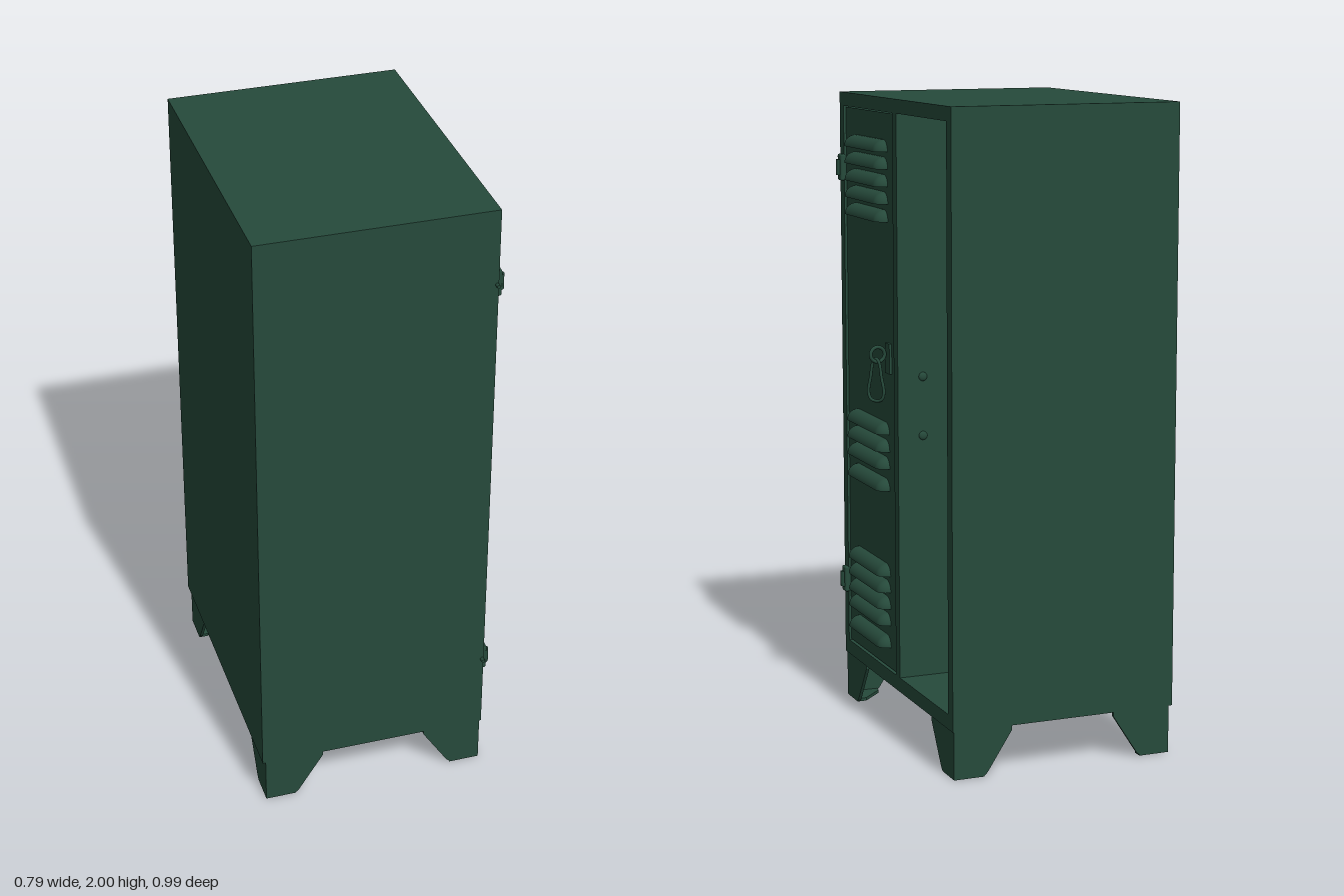
import * as THREE from 'three';
import { ParametricGeometry } from 'three/addons/geometries/ParametricGeometry.js';
import { RoundedBoxGeometry } from 'three/addons/geometries/RoundedBoxGeometry.js';

const X0 = -0.395, X1 = 0.332, Z0 = -0.488, Z1 = 0.482, Y0 = 0.15, Y1 = 2;

export function createModel() {
  const root = new THREE.Group();
  root.name = 'locker';
  const paint = new THREE.MeshStandardMaterial({ color: 0x264a3b, side: THREE.DoubleSide });
  paint.name = 'dark green paint';

  const add = (name, geo, x = 0, y = 0, z = 0, parent = root) => {
    const m = new THREE.Mesh(geo, paint);
    m.name = name;
    m.position.set(x, y, z);
    parent.add(m);
    return m;
  };
  // box given by its minimum and maximum corners
  const span = (name, xa, xb, ya, yb, za, zb, parent) =>
    add(name, new THREE.BoxGeometry(xb - xa, yb - ya, zb - za),
      (xa + xb) / 2, (ya + yb) / 2, (za + zb) / 2, parent);

  // cabinet shell, open towards +x
  span('backPanel', X0, X0 + 0.02, Y0, Y1, Z0, Z1);
  span('leftWall', X0, X1, Y0, Y1, 0.446, Z1);
  span('rightWall', X0, X1, Y0, Y1, Z0, -0.45);
  span('topPanel', X0, X1, 1.957, Y1, Z0, Z1);
  span('bottomPanel', X0, X1, Y0, 0.196, Z0, Z1);
  span('divider', X0, X1, Y0, Y1, -0.037, -0.002);

  // closed door, set slightly back in its frame
  const door = new THREE.Group();
  door.name = 'door';
  root.add(door);
  const doorX = 0.325;
  span('doorPanel', doorX - 0.02, doorX, 0.2, 1.953, 0.002, 0.442, door);

  // louvre: quarter-round hood with rounded ends, open underneath
  const half = 0.163, reach = 0.037, rise = 0.036;
  const hood = new ParametricGeometry((u, v, p) => {
    const t = -Math.cos(u * Math.PI);
    const edge = Math.max(0, Math.abs(t * half) - (half - 0.035)) / 0.035;
    const r = Math.sqrt(Math.max(0, 1 - edge * edge));
    const a = v * Math.PI / 2;
    p.set(Math.cos(a) * reach * r, Math.sin(a) * rise * r, -t * half);
  }, 28, 8);
  const rows = [
    1.835, 1.782, 1.728, 1.675, 1.62,
    0.955, 0.9, 0.845, 0.775,
    0.5, 0.447, 0.394, 0.34, 0.268,
  ];
  rows.forEach((y) => add('louvre', hood, doorX, y, 0.222, door));

  // hasp plate, eye and hanging clip
  span('haspPlate', doorX, doorX + 0.008, 1.15, 1.245, 0.035, 0.075, door);
  add('haspEye', new THREE.TorusGeometry(0.023, 0.006, 8, 24), 0.364, 1.212, 0.055, door);
  const loop = [[0, 0], [0.011, -0.012], [0.02, -0.06], [0.028, -0.105], [0.02, -0.128],
    [0, -0.134], [-0.02, -0.128], [-0.028, -0.105], [-0.02, -0.06], [-0.011, -0.012]]
    .map(([a, b]) => new THREE.Vector3(a, b, 0));
  const clip = add('clip', new THREE.TubeGeometry(
    new THREE.CatmullRomCurve3(loop, true), 48, 0.005, 8, true), 0.369, 1.2, 0.057, door);
  clip.rotation.y = -0.9;

  // hinges
  for (const y of [1.76, 0.403]) {
    const hinge = new THREE.Group();
    hinge.name = 'hinge';
    root.add(hinge);
    add('hingePlate', new RoundedBoxGeometry(0.02, 0.085, 0.034, 2, 0.006), 0.334, y, 0.461, hinge);
    add('hingeBarrel', new THREE.CylinderGeometry(0.011, 0.011, 0.05, 12), 0.343, y, 0.462, hinge);
    add('hingePin', new THREE.CylinderGeometry(0.006, 0.006, 0.03, 10), 0.327, y, 0.482, hinge)
      .rotation.x = Math.PI / 2;
  }

  // bolt heads inside the open compartment
  const boltGeo = new THREE.SphereGeometry(0.014, 14, 8, 0, Math.PI * 2, 0, Math.PI / 2);
  boltGeo.scale(1, 0.5, 1);
  for (const y of [1.15, 0.965]) add('latchBolt', boltGeo, 0.25, y, -0.037).rotation.x = -Math.PI / 2;
  for (const y of [1.83, 0.235]) {
    const b = add('hingeBolt', boltGeo, 0.25, y, -0.45);
    b.rotation.x = Math.PI / 2;
    b.scale.setScalar(0.7);
  }

  // corner feet: two tapering wings folded at the corner, with a sole
  const wing = new THREE.Shape();
  wing.moveTo(0, 0);
  wing.lineTo(0.095, 0);
  wing.lineTo(0.108, 0.012);
  wing.lineTo(0.188, 0.136);
  wing.lineTo(0.188, 0.152);
  wing.lineTo(0, 0.152);
  wing.closePath();
  const wingGeo = new THREE.ExtrudeGeometry(wing, { depth: 0.01, bevelEnabled: false });
  const sole = new THREE.Shape();
  sole.moveTo(0, 0);
  sole.lineTo(0.098, 0);
  sole.lineTo(0.098, 0.03);
  sole.lineTo(0.03, 0.098);
  sole.lineTo(0, 0.098);
  sole.closePath();
  const soleGeo = new THREE.ExtrudeGeometry(sole, { depth: 0.01, bevelEnabled: false });
  soleGeo.rotateX(Math.PI / 2).translate(0, 0.01, 0);
  for (const sx of [-1, 1]) for (const sz of [-1, 1]) {
    const foot = new THREE.Group();
    foot.name = 'foot';
    foot.position.set(sx > 0 ? 0.327 : -0.385, 0, sz > 0 ? 0.48 : -0.485);
    foot.scale.set(-sx, 1, -sz);
    add('footWing', wingGeo, 0, 0, 0, foot);
    add('footWing', wingGeo, 0.01, 0, 0, foot).rotation.y = -Math.PI / 2;
    add('footSole', soleGeo, 0, 0, 0, foot);
    for (const y of [0.06, 0.1])
      add('footBolt', new THREE.SphereGeometry(0.009, 10, 6), 0.012, y, 0.012, foot);
    root.add(foot);
  }

  // the cabinet stands very slightly turned
  root.rotation.y = -0.007;
  const group = new THREE.Group();
  group.name = 'metalLocker';
  group.add(root);
  return group;
}
